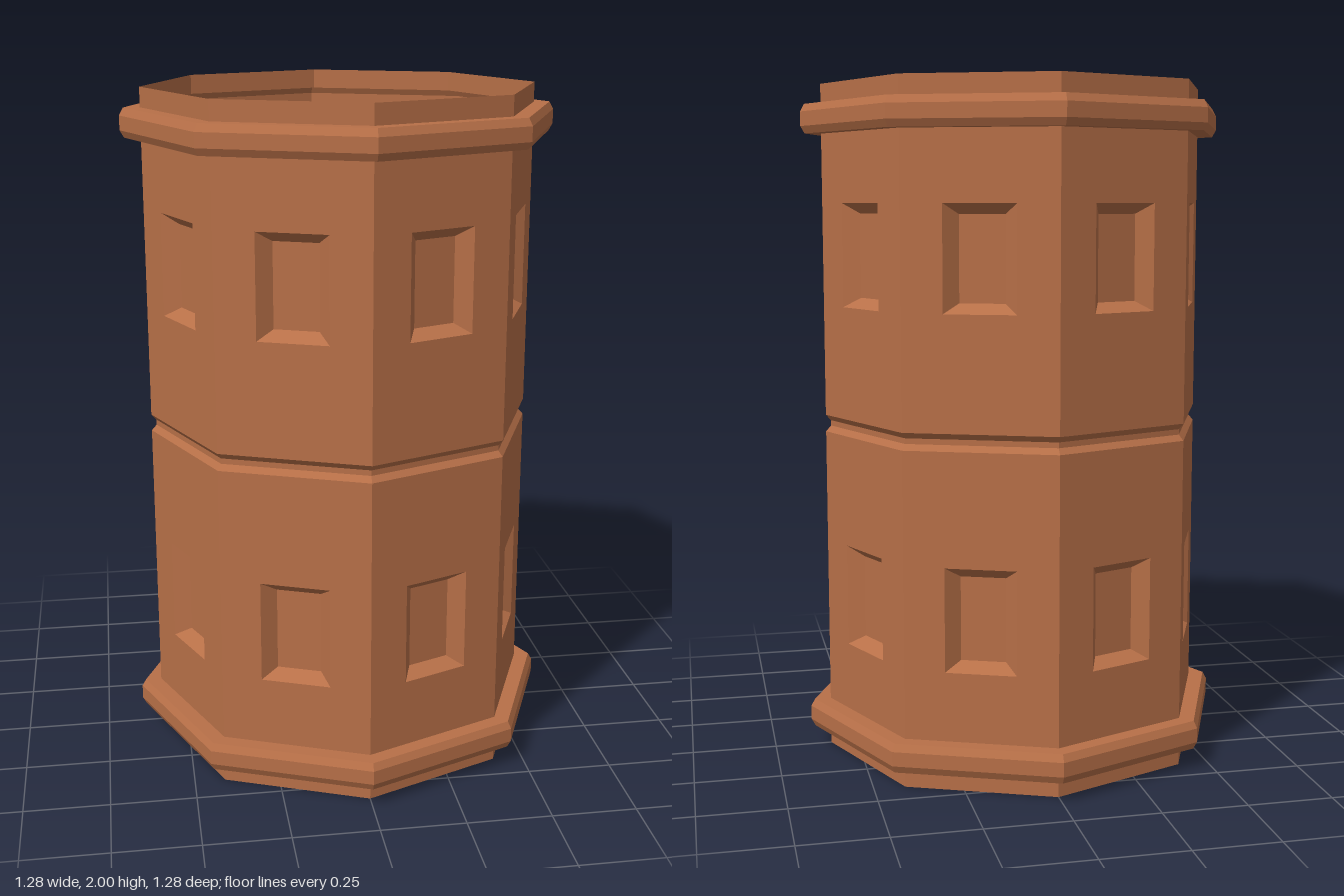
import * as THREE from 'three';

const SIDES = 8;
const RADIUS = 0.58;
const APOTHEM = RADIUS * Math.cos(Math.PI / SIDES);
const HALF_SIDE = RADIUS * Math.sin(Math.PI / SIDES);

const clay = new THREE.MeshStandardMaterial({ color: 0xb87048, flatShading: true, side: THREE.DoubleSide });

function mesh(name, geometry) {
  const m = new THREE.Mesh(geometry, clay);
  m.name = name;
  return m;
}

// Eight-sided band swept from [radius, height] points, bottom to top
function band(name, profile) {
  const geometry = new THREE.LatheGeometry(profile.map(([r, y]) => new THREE.Vector2(r, y)), SIDES).toNonIndexed();
  geometry.computeVertexNormals();
  return mesh(name, geometry);
}

function rectangle(Type, x, y0, y1) {
  return new Type([[-x, y0], [x, y0], [x, y1], [-x, y1]].map(([a, b]) => new THREE.Vector2(a, b)));
}

// Flat wall side with a rectangular opening
function wallPanel(y0, y1, w0, w1) {
  const shape = rectangle(THREE.Shape, HALF_SIDE, y0, y1);
  shape.holes.push(rectangle(THREE.Path, 0.103, w0, w1));
  return mesh('wallPanel', new THREE.ShapeGeometry(shape));
}

// Sunken window: four sloping sides and a smaller floor
function windowRecess(w0, w1) {
  const ring = (x, a, b, z) => [[-x, a, z], [x, a, z], [x, b, z], [-x, b, z]];
  const outer = ring(0.103, w0, w1, 0);
  const inner = ring(0.065, w0 + 0.028, w1 - 0.03, -0.039);
  const corners = [inner[0], inner[1], inner[2], inner[0], inner[2], inner[3]];
  for (let i = 0; i < 4; i++) {
    const j = (i + 1) % 4;
    corners.push(outer[i], outer[j], inner[j], outer[i], inner[j], inner[i]);
  }
  const geometry = new THREE.BufferGeometry();
  geometry.setAttribute('position', new THREE.Float32BufferAttribute(corners.flat(), 3));
  geometry.computeVertexNormals();
  return mesh('windowRecess', geometry);
}

export function createModel() {
  const tower = new THREE.Group();
  tower.name = 'octagonalTower';

  // Rim and hollow moulding at each end, mirrored about mid-height
  const rim = [[RADIUS, 0], [RADIUS, 0.058], [0.628, 0.058], [0.64, 0.08], [0.64, 0.122], [0.628, 0.143], [RADIUS, 0.143]];
  tower.add(band('bottomMoulding', rim));
  tower.add(band('topMoulding', rim.map(([r, y]) => [r, 2 - y]).reverse()));

  // Groove between the two storeys
  tower.add(band('middleGroove', [[RADIUS, 0.975], [0.565, 0.992], [0.565, 1.008], [RADIUS, 1.025]]));

  // Two storeys of eight windowed sides
  const storeys = [
    ['lowerStorey', 0.143, 0.975, 0.344, 0.645],
    ['upperStorey', 1.025, 1.857, 1.355, 1.656],
  ];
  for (const [name, y0, y1, w0, w1] of storeys) {
    const storey = new THREE.Group();
    storey.name = name;
    for (let i = 0; i < SIDES; i++) {
      const side = new THREE.Group();
      side.name = 'wallSide';
      const angle = ((i + 0.5) * 2 * Math.PI) / SIDES;
      side.position.set(APOTHEM * Math.sin(angle), 0, APOTHEM * Math.cos(angle));
      side.rotation.y = angle;
      side.add(wallPanel(y0, y1, w0, w1), windowRecess(w0, w1));
      storey.add(side);
    }
    tower.add(storey);
  }
  return tower;
}
